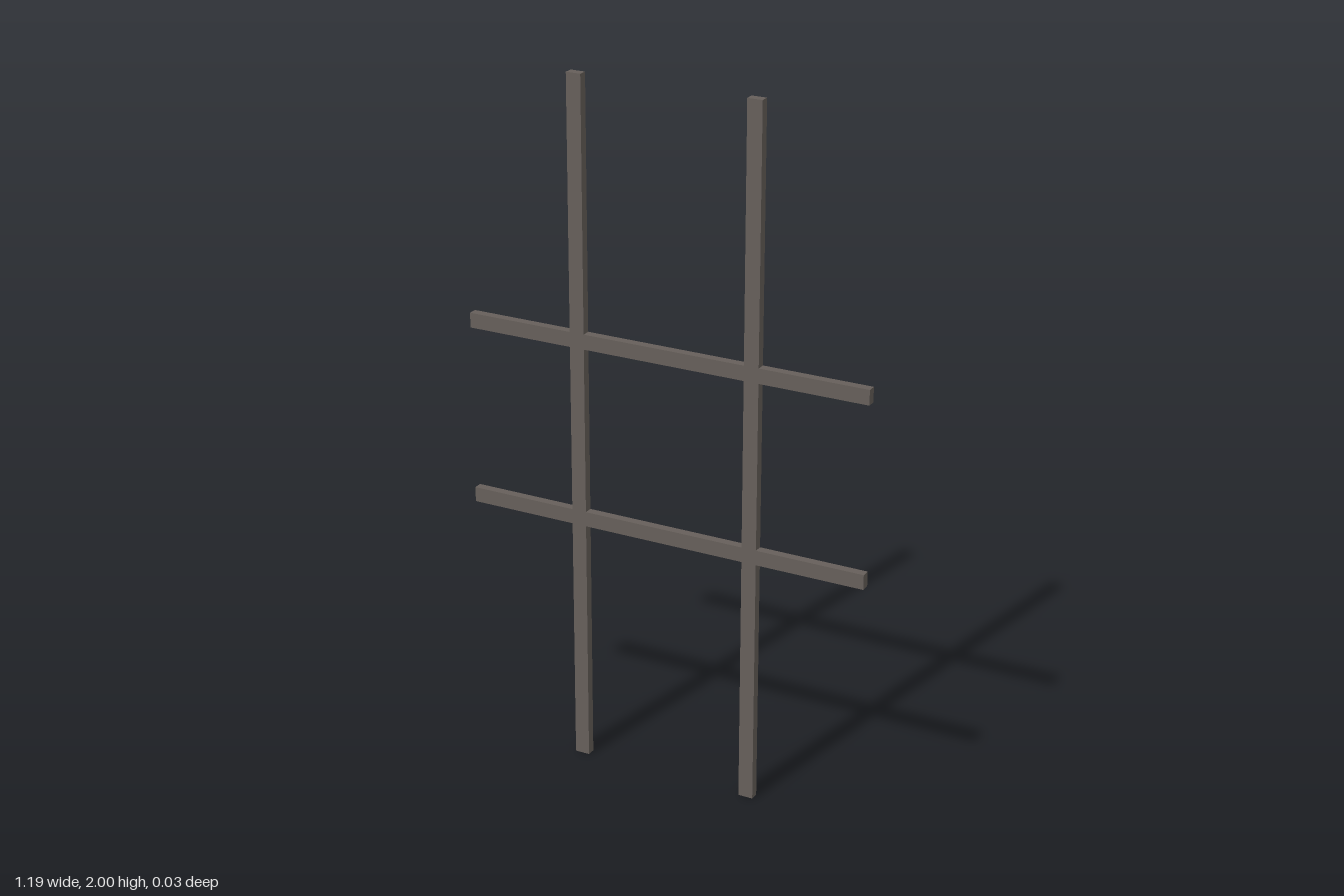
import * as THREE from 'three';

export function createModel() {
  const model = new THREE.Group();
  model.name = 'lattice';
  const darkMetal = new THREE.MeshStandardMaterial({ color: 0x665f5a });
  darkMetal.name = 'dark metal';

  const thick = 0.043, depth = 0.025;
  const bar = (name, w, h, x, y) => {
    const mesh = new THREE.Mesh(new THREE.BoxGeometry(w, h, depth), darkMetal);
    mesh.name = name;
    mesh.position.set(x, y, 0);
    model.add(mesh);
  };

  // Two full-height uprights crossed by two shorter rails
  for (const s of [-1, 1]) {
    bar(s > 0 ? 'leftUpright' : 'rightUpright', thick, 2, s * 0.261, 1);
    bar(s > 0 ? 'upperRail' : 'lowerRail', 1.194, thick, 0, 1.002 + s * 0.261);
  }
  return model;
}
